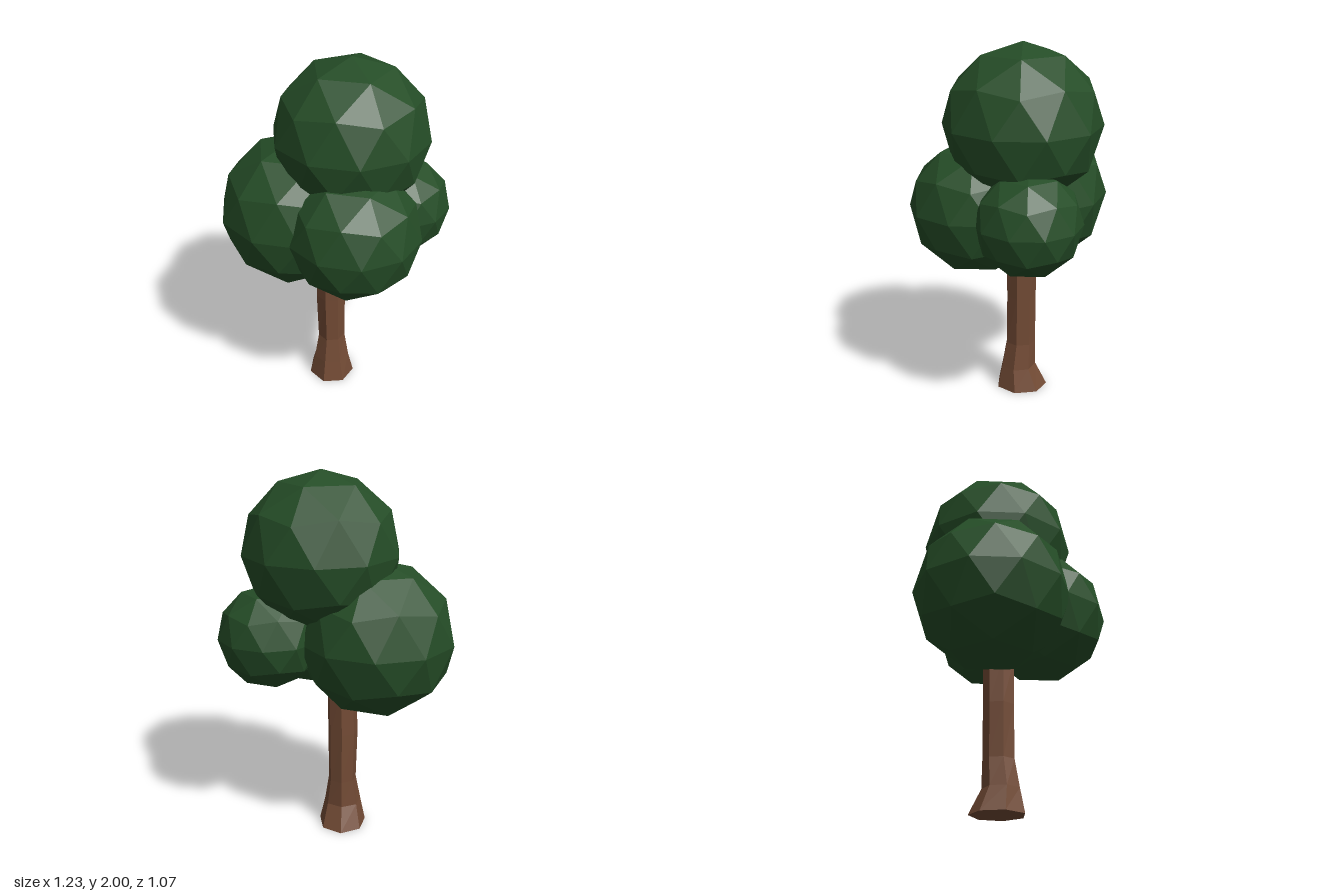
import * as THREE from 'three';

const leafGreen = new THREE.MeshStandardMaterial({ color: 0x254d27, flatShading: true });
leafGreen.name = 'leafGreen';
const barkBrown = new THREE.MeshStandardMaterial({ color: 0x734b35, flatShading: true });
barkBrown.name = 'barkBrown';

// Faceted ball of leaves, turned so one corner points straight up
function foliage(name, radius, x, y, z) {
  const geometry = new THREE.IcosahedronGeometry(radius, 1);
  geometry.rotateZ(-Math.atan(2 / (1 + Math.sqrt(5))));
  const mesh = new THREE.Mesh(geometry, leafGreen);
  mesh.name = name;
  mesh.position.set(x, y, z);
  return mesh;
}

// Seven-sided trunk, flared at the foot and slightly uneven
function trunk() {
  // height, centre x, centre z, radius x, radius z
  const rings = [
    [0, -0.035, -0.068, 0.133, 0.147],
    [0.13, -0.036, -0.05, 0.103, 0.1],
    [0.28, -0.034, -0.062, 0.078, 0.085],
    [0.57, -0.037, -0.064, 0.084, 0.084],
    [0.83, -0.03, -0.064, 0.08, 0.086],
    [1.0, -0.03, -0.064, 0.08, 0.086],
  ];
  const steps = rings.length - 1;
  const geometry = new THREE.CylinderGeometry(1, 1, 1, 7, steps, false, Math.PI);
  const p = geometry.attributes.position;
  for (let i = 0; i < p.count; i++) {
    const [y, cx, cz, rx, rz] = rings[Math.round((p.getY(i) + 0.5) * steps)];
    p.setXYZ(i, cx + p.getX(i) * rx, y, cz + p.getZ(i) * rz);
  }
  geometry.computeVertexNormals();
  const mesh = new THREE.Mesh(geometry, barkBrown);
  mesh.name = 'trunk';
  return mesh;
}

export function createModel() {
  const tree = new THREE.Group();
  tree.name = 'tree';
  tree.add(
    trunk(),
    foliage('topFoliage', 0.42, 0.075, 1.58, -0.073),
    foliage('rightFoliage', 0.42, -0.217, 1.13, -0.115),
    foliage('frontFoliage', 0.36, 0.067, 1.13, 0.172),
    foliage('leftFoliage', 0.28, 0.348, 1.13, -0.115),
  );
  return tree;
}
